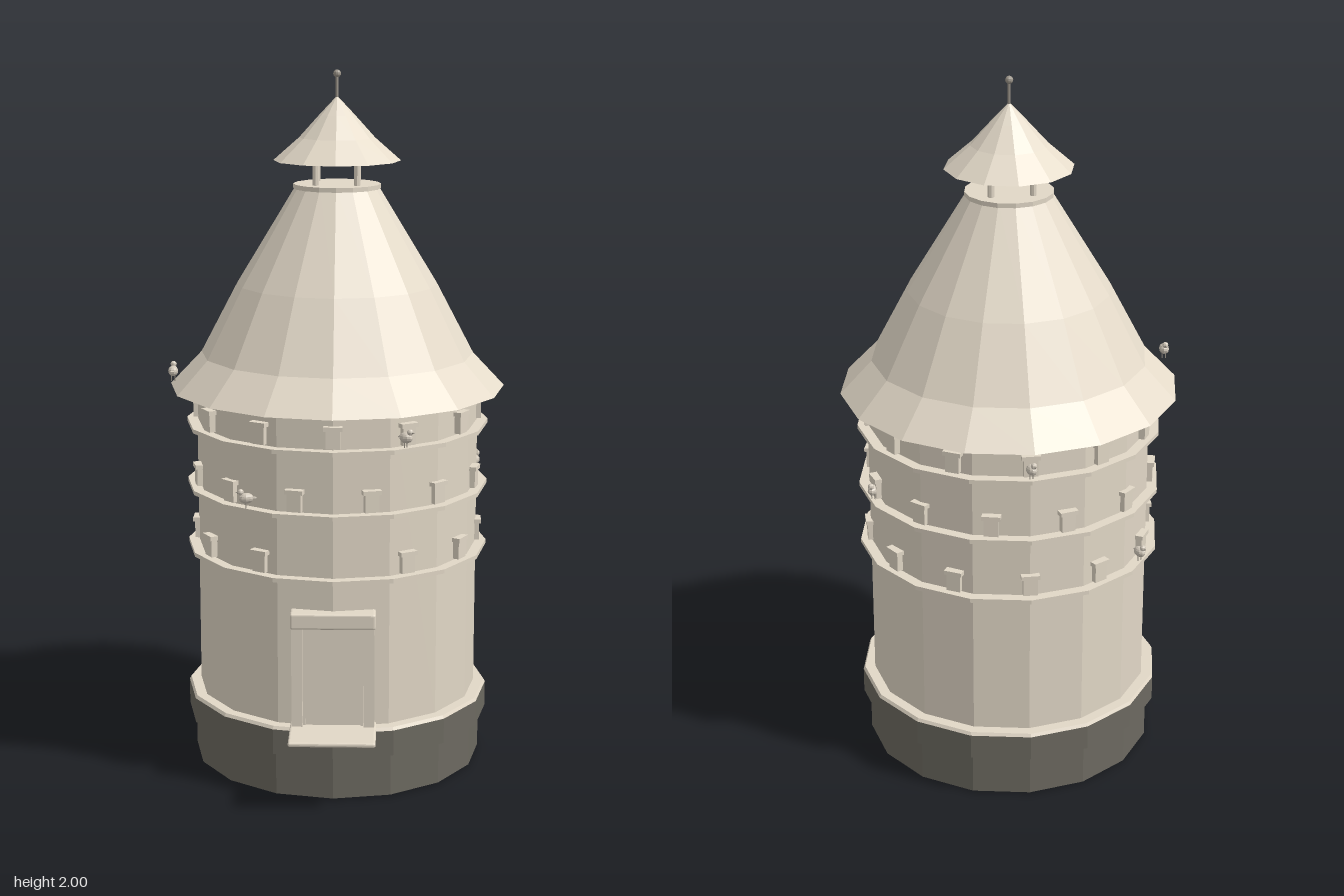
import * as THREE from 'three';
import { RoundedBoxGeometry } from 'three/addons/geometries/RoundedBoxGeometry.js';

const CZ = -0.035; // tower axis
const SIDES = 16;

export function createModel() {
  const model = new THREE.Group();
  model.name = 'dovecote';
  const tower = new THREE.Group();
  tower.name = 'tower';
  tower.position.z = CZ;
  model.add(tower);

  const mat = (name, color, side = THREE.FrontSide) => {
    const m = new THREE.MeshStandardMaterial({ color, side, flatShading: true });
    m.name = name;
    return m;
  };
  const plaster = mat('plaster', 0xe1d7c6);
  const shingle = mat('shingle', 0xe6dccb, THREE.DoubleSide);
  const stone = mat('dark stone', 0x6c6960);
  const earth = mat('footing', 0x302f2d);
  const metal = mat('metal', 0x9c958a);
  const feather = mat('feather', 0xd2c9bb);

  const add = (parent, name, geometry, material, x = 0, y = 0, z = 0) => {
    const mesh = new THREE.Mesh(geometry, material);
    mesh.name = name;
    mesh.position.set(x, y, z);
    parent.add(mesh);
    return mesh;
  };
  const lathe = (points, sides = SIDES) =>
    new THREE.LatheGeometry(points.map(([r, y]) => new THREE.Vector2(r, y)), sides);
  const box = (parent, name, w, h, d, x, y, z, material = plaster) =>
    add(parent, name, new THREE.BoxGeometry(w, h, d), material, x, y, z);
  const rounded = (parent, name, w, h, d, x, y, z) =>
    add(parent, name, new RoundedBoxGeometry(w, h, d, 2, 0.006), plaster, x, y, z);

  // Square footing, plinth with its pale coping, then the wall
  box(tower, 'footing', 0.588, 0.02, 0.588, 0, 0.01, 0, earth);
  add(tower, 'plinth', lathe([[0, 0.004], [0.42, 0.004], [0.42, 0.13], [0.44, 0.13], [0.44, 0.203]]), stone);
  add(tower, 'coping', lathe([[0.44, 0.203], [0.435, 0.212], [0.4, 0.212]]), plaster);
  add(tower, 'wall', lathe([[0.405, 0.2], [0.405, 1.175]]), plaster);

  // Perch ledges with dark undersides
  for (const y of [0.637, 0.82, 1.0]) {
    add(tower, 'perchLedge', lathe([[0.435, y - 0.006], [0.435, y + 0.006], [0.4, y + 0.006]]), plaster);
    add(tower, 'ledgeUnderside', lathe([[0.4, y - 0.006], [0.435, y - 0.006]]), stone);
  }

  // Nest boxes: three staggered rows of twelve, none above the door
  const rows = [{ y: 0.643, offset: 0 }, { y: 0.826, offset: 0.5 }, { y: 1.006, offset: 0 }];
  rows.forEach(({ y, offset }, row) => {
    for (let i = 0; i < 12; i++) {
      if (row === 0 && i === 0) continue;
      const nest = new THREE.Group();
      nest.name = 'nestBox';
      nest.rotation.y = (i + offset) * Math.PI / 6;
      nest.position.y = y;
      box(nest, 'nestBody', 0.04, 0.05, 0.04, 0, 0.029, 0.395);
      box(nest, 'nestLid', 0.052, 0.012, 0.048, 0, 0.06, 0.396);
      tower.add(nest);
    }
  });

  // Main roof, open under the flared eave, and its top collar
  add(tower, 'roof', lathe([[0.48, 1.105], [0.39, 1.2], [0.285, 1.4], [0.115, 1.68]]), shingle);
  add(tower, 'roofCollar', lathe([[0.1, 1.67], [0.124, 1.67], [0.124, 1.683], [0, 1.683]]), plaster);

  // Lantern: four posts and a hollow cap
  for (const x of [-0.058, 0.058]) {
    for (const z of [-0.058, 0.058]) {
      add(tower, 'lanternPost', new THREE.CylinderGeometry(0.009, 0.009, 0.12, 8), plaster, x, 1.74, z);
    }
  }
  add(tower, 'lanternCap', lathe([[0.18, 1.748], [0.107, 1.812], [0.05, 1.875], [0, 1.928]], 12), shingle);
  add(tower, 'finialRod', new THREE.CylinderGeometry(0.004, 0.004, 0.08, 8), metal, 0, 1.95, 0);
  add(tower, 'finialBall', new THREE.SphereGeometry(0.011, 10, 8), metal, 0, 1.989, 0);

  // Doorway
  const door = new THREE.Group();
  door.name = 'doorway';
  model.add(door);
  box(door, 'door', 0.16, 0.3, 0.06, 0, 0.36, 0.344);
  for (const s of [-1, 1]) {
    box(door, 'jamb', 0.03, 0.3, 0.08, s * 0.1, 0.36, 0.35);
    box(door, 'doorBead', 0.008, 0.29, 0.05, s * 0.08, 0.357, 0.353);
  }
  rounded(door, 'lintel', 0.236, 0.045, 0.09, 0, 0.527, 0.355);
  rounded(door, 'step', 0.24, 0.014, 0.17, 0, 0.212, 0.425);

  // Doves: feet at the given height, facing along yaw
  const dove = (x, y, z, yaw) => {
    const bird = new THREE.Group();
    bird.name = 'dove';
    bird.position.set(x, y, z);
    bird.rotation.y = yaw;
    const body = add(bird, 'doveBody', new THREE.SphereGeometry(0.015, 10, 8), feather, 0, 0.028, 0);
    body.scale.set(0.95, 1, 1.4);
    add(bird, 'doveHead', new THREE.SphereGeometry(0.009, 8, 6), feather, 0, 0.045, 0.015);
    const beak = add(bird, 'doveBeak', new THREE.ConeGeometry(0.003, 0.009, 6), metal, 0, 0.044, 0.026);
    beak.rotation.x = Math.PI / 2;
    box(bird, 'doveTail', 0.01, 0.004, 0.012, 0, 0.029, -0.022, feather).rotation.x = -0.2;
    for (const s of [-1, 1]) {
      add(bird, 'doveLeg', new THREE.CylinderGeometry(0.0015, 0.0015, 0.02, 5), metal, s * 0.005, 0.009, 0);
    }
    model.add(bird);
  };
  // Angle around the tower and height of each perched dove
  for (const [deg, y, turn] of [[28, 1.006, 0.4], [-35, 0.826, -0.9], [106, 0.826, 0.8], [180, 1.006, 0.3], [234, 0.643, -0.5]]) {
    const a = THREE.MathUtils.degToRad(deg);
    dove(Math.sin(a) * 0.42, y, CZ + Math.cos(a) * 0.42, a + turn);
  }
  dove(-0.465, 1.128, 0.042, Math.PI);

  return model;
}
